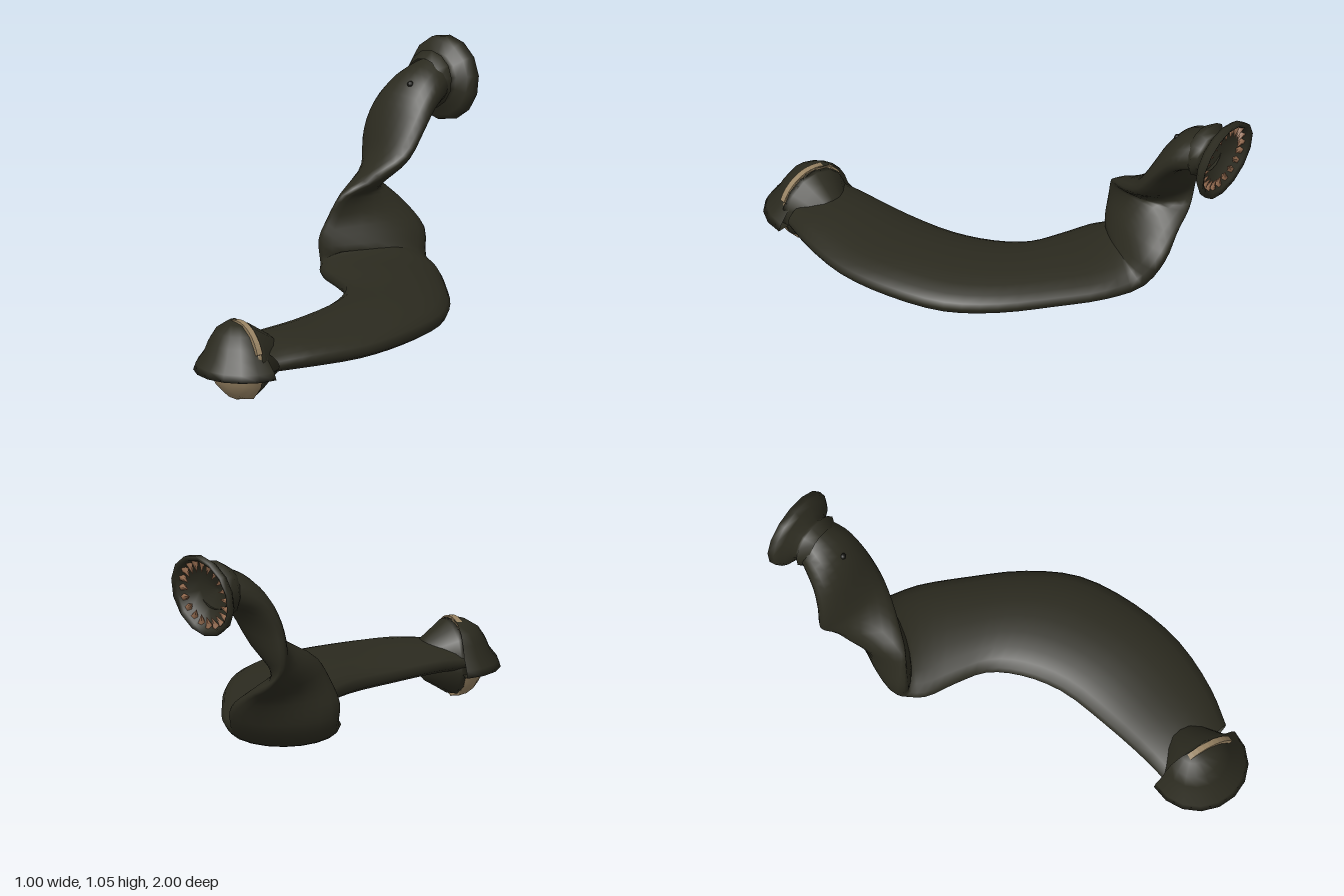
import * as THREE from 'three';

const skin = new THREE.MeshStandardMaterial({ color: 0x2b2a1f, side: THREE.DoubleSide });
skin.name = 'dark olive skin';
const flesh = new THREE.MeshStandardMaterial({ color: 0x988363, side: THREE.DoubleSide });
flesh.name = 'tan mouth flesh';
const toothMat = new THREE.MeshStandardMaterial({ color: 0x936a4e });
toothMat.name = 'brown teeth';
const black = new THREE.MeshStandardMaterial({ color: 0x12120e });
black.name = 'black spot';

const V = (x, y, z) => new THREE.Vector3(x, y, z);

function part(parent, name, geometry, material) {
  const mesh = new THREE.Mesh(geometry, material);
  mesh.name = name;
  parent.add(mesh);
  return mesh;
}

// Flattened, twisting body lofted between its two edges; h is half the thickness
function bodyGeometry() {
  const rows = [
    // left edge, right edge, h
    [-0.03, 0.18, 0.77, 0.32, 0.18, 0.79, 0.055],
    [-0.01, 0.19, 0.64, 0.40, 0.19, 0.65, 0.065],
    [0.01, 0.19, 0.40, 0.48, 0.19, 0.42, 0.07],
    [0.01, 0.195, 0.17, 0.495, 0.195, 0.17, 0.077],
    [-0.04, 0.195, 0.0, 0.45, 0.195, -0.08, 0.077],
    [-0.12, 0.195, -0.12, 0.33, 0.195, -0.27, 0.073],
    [-0.24, 0.195, -0.19, 0.16, 0.195, -0.44, 0.07],
    [-0.36, 0.195, -0.25, 0.0, 0.195, -0.58, 0.07],
    [-0.41, 0.21, -0.31, -0.14, 0.21, -0.66, 0.085],
    [-0.42, 0.31, -0.31, -0.20, 0.31, -0.72, 0.08],
    [-0.39, 0.40, -0.33, -0.30, 0.39, -0.72, 0.06],
    [-0.34, 0.50, -0.37, -0.41, 0.45, -0.71, 0.055],
    [-0.25, 0.57, -0.49, -0.48, 0.52, -0.69, 0.055],
    [-0.19, 0.64, -0.60, -0.50, 0.60, -0.69, 0.058],
    [-0.175, 0.74, -0.68, -0.49, 0.72, -0.70, 0.055],
    [-0.175, 0.82, -0.745, -0.46, 0.82, -0.745, 0.065],
    [-0.18, 0.87, -0.81, -0.43, 0.87, -0.81, 0.08],
    [-0.20, 0.89, -0.88, -0.40, 0.89, -0.88, 0.09],
  ];
  const left = new THREE.CatmullRomCurve3(rows.map(r => V(r[0], r[1], r[2])));
  const right = new THREE.CatmullRomCurve3(rows.map(r => V(r[3], r[4], r[5])));
  const thick = new THREE.CatmullRomCurve3(rows.map((r, i) => V(i, r[6], 0)));
  const mid = t => left.getPoint(t).add(right.getPoint(t)).multiplyScalar(0.5);
  const n = (rows.length - 1) * 3, sides = 20;
  const pos = [], index = [];
  for (let i = 0; i <= n; i++) {
    const t = i / n, c = mid(t);
    const w = left.getPoint(t).sub(c);
    const along = mid(Math.min(1, t + 0.012)).sub(mid(Math.max(0, t - 0.012)));
    const up = along.cross(w).normalize().multiplyScalar(thick.getPoint(t).y);
    for (let j = 0; j < sides; j++) {
      const a = (j / sides) * Math.PI * 2;
      const p = c.clone().addScaledVector(w, Math.cos(a)).addScaledVector(up, Math.sin(a));
      pos.push(p.x, p.y, p.z);
      if (i < n) {
        const k = (j + 1) % sides, A = i * sides + j, B = i * sides + k;
        index.push(A, B, A + sides, B, B + sides, A + sides);
      }
    }
  }
  const g = new THREE.BufferGeometry();
  g.setAttribute('position', new THREE.Float32BufferAttribute(pos, 3));
  g.setIndex(index);
  g.computeVertexNormals();
  return g;
}

const lathe = (pts, sides, start = 0, sweep = Math.PI * 2) =>
  new THREE.LatheGeometry(pts.map(p => new THREE.Vector2(p[0], p[1])), sides, start, sweep);

export function createModel() {
  const model = new THREE.Group();
  model.name = 'worm';
  part(model, 'body', bodyGeometry(), skin);

  // Rear sucker: flared cup facing backwards with a ring of teeth
  const sucker = new THREE.Group();
  sucker.name = 'rearSucker';
  sucker.position.set(-0.305, 0.89, -0.86);
  sucker.rotation.x = -0.14;
  model.add(sucker);
  const cup = lathe([[0.09, -0.03], [0.122, 0.01], [0.1, 0.03], [0.112, 0.05], [0.155, 0.07],
    [0.174, 0.09], [0.177, 0.118], [0.155, 0.11], [0.138, 0.075], [0.09, 0.04], [0, 0.02]], 14);
  cup.rotateX(-Math.PI / 2);
  part(sucker, 'suckerCup', cup, skin);
  const count = 20;
  for (let i = 0; i < count; i++) {
    const a = (i / count) * Math.PI * 2;
    const tooth = part(sucker, 'tooth', new THREE.ConeGeometry(0.017, 0.052, 5), toothMat);
    tooth.position.set(Math.cos(a) * 0.122, Math.sin(a) * 0.122, -0.092);
    tooth.quaternion.setFromUnitVectors(V(0, 1, 0), V(-Math.cos(a), -Math.sin(a), -0.2).normalize());
  }

  // Small dark spot on the upright section
  part(model, 'spot', new THREE.SphereGeometry(0.014, 10, 8), black).position.set(-0.29, 0.902, -0.736);

  // Head: mouth disc, front hood and tapered back
  const head = new THREE.Group();
  head.name = 'head';
  head.position.set(0.13, 0, 0.795);
  head.rotation.y = -0.3;
  model.add(head);

  // Mouth bulges forward below and is nearly flat under the hood
  const mouth = new THREE.SphereGeometry(1, 12, 12);
  mouth.rotateX(Math.PI / 2);
  mouth.scale(0.158, 0.17, 0.14);
  const clip = mouth.attributes.position;
  for (let i = 0; i < clip.count; i++) {
    const z = Math.max(clip.getZ(i), 0);
    clip.setZ(i, clip.getY(i) > 0.01 ? z * 0.15 : z);
  }
  mouth.computeVertexNormals();
  part(head, 'mouth', mouth, flesh).position.y = 0.17;

  const back = lathe([[0, -0.005], [0.16, -0.002], [0.155, 0.02], [0.125, 0.065], [0.09, 0.12], [0.06, 0.145], [0, 0.15]], 14);
  back.rotateX(-Math.PI / 2);
  part(head, 'headBack', back, skin).position.y = 0.172;

  // Bell-shaped hood, leaning slightly to one side
  const hood = lathe([[0, 0.131], [0.207, 0.131], [0.195, 0.16], [0.16, 0.205], [0.14, 0.25],
    [0.11, 0.295], [0.06, 0.328], [0, 0.333]], 9, -Math.PI * 0.53, Math.PI * 1.08);
  hood.applyMatrix4(new THREE.Matrix4().makeShear(0, 0, -0.1, 0, 0, 0));
  part(head, 'hood', hood, skin).position.x = 0.013;

  // Thin ragged tan lip standing just above the hood
  const lip = new THREE.Shape();
  for (let i = 0; i <= 14; i++) {
    const a = Math.PI * (0.12 + 0.7 * i / 14);
    lip[i ? 'lineTo' : 'moveTo'](Math.cos(a) * 0.163, Math.sin(a) * 0.168);
  }
  for (let i = 14; i >= 0; i--) {
    const a = Math.PI * (0.12 + 0.7 * i / 14), r = i % 2 ? 0.13 : 0.14;
    lip.lineTo(Math.cos(a) * r, Math.sin(a) * r);
  }
  const lipGeo = new THREE.ExtrudeGeometry(lip, { depth: 0.025, bevelEnabled: false });
  part(head, 'mouthLip', lipGeo, flesh).position.set(0, 0.172, 0.002);

  return model;
}
